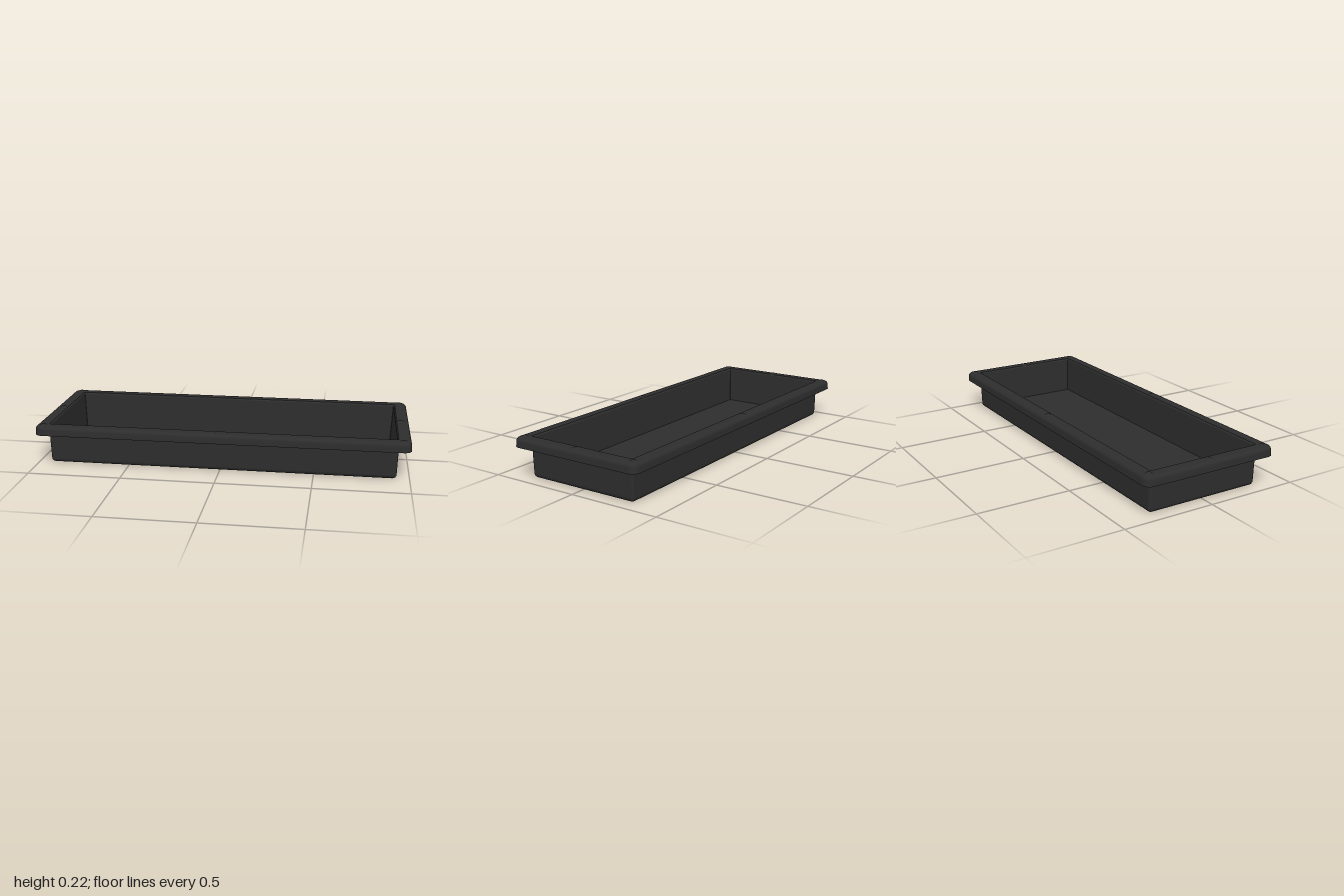
import * as THREE from 'three';

const CORNER_STEPS = 6;

// Rounded rectangle at height y, walked from +x towards +z
function ring([hx, hz, r, y]) {
  const points = [];
  const corners = [[1, 1], [-1, 1], [-1, -1], [1, -1]];
  corners.forEach(([sx, sz], q) => {
    for (let i = 0; i <= CORNER_STEPS; i++) {
      const a = (q + i / CORNER_STEPS) * Math.PI / 2;
      points.push([sx * (hx - r) + r * Math.cos(a), y, sz * (hz - r) + r * Math.sin(a)]);
    }
  });
  return points;
}

// Smooth skin through a list of rings
function skin(sections) {
  const rings = sections.map(ring);
  const n = rings[0].length;
  const index = [];
  for (let k = 0; k < rings.length - 1; k++) {
    for (let i = 0; i < n; i++) {
      const j = (i + 1) % n;
      const a = k * n + i, b = k * n + j, c = a + n, d = b + n;
      index.push(a, c, b, b, c, d);
    }
  }
  const geometry = new THREE.BufferGeometry();
  geometry.setAttribute('position', new THREE.Float32BufferAttribute(rings.flat(2), 3));
  geometry.setIndex(index);
  geometry.computeVertexNormals();
  return geometry;
}

// Rings following a quarter-round edge; inset(t) and height(t) run from start to end
function fillet(hx, hz, corner, radius, y, fromBottom) {
  const out = [];
  for (let i = 0; i <= 5; i++) {
    const a = (i / 5) * Math.PI / 2;
    const inset = radius * (1 - (fromBottom ? Math.sin(a) : Math.cos(a)));
    const h = fromBottom ? y + radius * (1 - Math.cos(a)) : y + radius * Math.sin(a);
    out.push([hx - inset, hz - inset, Math.max(corner - inset, 0.004), h]);
  }
  return out;
}

export function createModel() {
  const model = new THREE.Group();
  model.name = 'tray';
  const plastic = new THREE.MeshStandardMaterial({ color: 0x2d2d2d });
  plastic.name = 'black plastic';

  const add = (name, geometry) => {
    const mesh = new THREE.Mesh(geometry, plastic);
    mesh.name = name;
    model.add(mesh);
    return mesh;
  };

  // Outer shell: base, rounded lower edge and walls
  const edge = fillet(0.932, 0.318, 0.014, 0.026, 0, true);
  add('base', skin([[0, 0, 0, 0], edge[0]]));
  add('outerWalls', skin([...edge, [0.936, 0.321, 0.014, 0.205]]));

  // Overhanging rim with a hollow underside
  add('rimUnderside', skin([[0.936, 0.321, 0.014, 0.205], [0.985, 0.368, 0.03, 0.205]]));
  add('skirtInside', skin([[0.985, 0.368, 0.03, 0.205], [0.988, 0.371, 0.03, 0.172]]));
  add('skirtEdge', skin([[0.988, 0.371, 0.03, 0.172], [1, 0.383, 0.042, 0.172]]));
  add('rimOutside', skin([
    [1, 0.383, 0.042, 0.172],
    ...fillet(0.998, 0.381, 0.042, 0.02, 0.201, false),
    [0.932, 0.317, 0.006, 0.221],
  ]));

  // Inner basin with a small chamfer at the mouth
  add('mouthChamfer', skin([[0.932, 0.317, 0.006, 0.221], [0.926, 0.311, 0.004, 0.213]]));
  add('innerWalls', skin([[0.926, 0.311, 0.004, 0.213], [0.917, 0.303, 0.004, 0.012]]));
  add('floor', skin([[0.917, 0.303, 0.004, 0.012], [0, 0, 0, 0.012]]));

  // Low stacking bumps at the corners and middles of the rim
  const bump = new THREE.CylinderGeometry(0.016, 0.026, 0.006, 20);
  for (const x of [-1, 0, 1]) {
    for (const z of [-1, 0, 1]) {
      if (x === 0 && z === 0) continue;
      add('rimBump', bump).position.set(x * 0.955, 0.2215, z * 0.342);
    }
  }
  return model;
}
